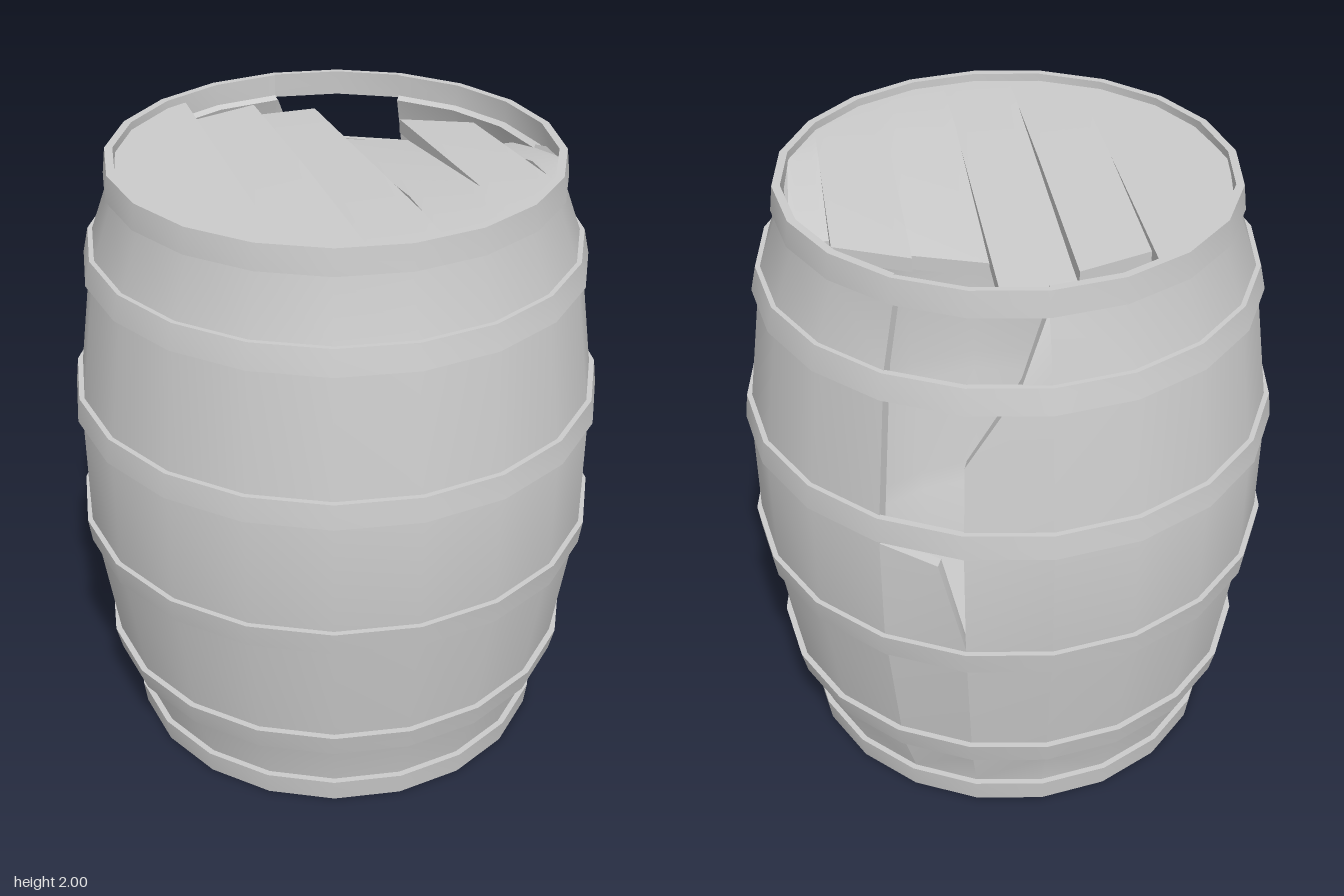
import * as THREE from 'three';
import { toCreasedNormals } from 'three/addons/utils/BufferGeometryUtils.js';

const SIDES = 20, STEP = (Math.PI * 2) / SIDES, WALL = 0.035;
const LID_TOP = 1.975, LID_RADIUS = 0.68, PLANK_THICK = 0.045;
const lerp = THREE.MathUtils.lerp;

// Outer barrel profile, [height, radius]
const PROFILE = [
  [0, 0.685], [0.08, 0.69], [0.265, 0.757], [0.345, 0.77], [0.74, 0.825], [0.82, 0.834],
  [1.18, 0.834], [1.26, 0.825], [1.655, 0.77], [1.735, 0.757], [1.92, 0.69], [2, 0.685],
];

function radiusAt(y) {
  for (let i = 1; i < PROFILE.length; i++) {
    const [y0, r0] = PROFILE[i - 1], [y1, r1] = PROFILE[i];
    if (y <= y1) return lerp(r0, r1, (y - y0) / (y1 - y0));
  }
  return PROFILE[PROFILE.length - 1][1];
}

// Moves every vertex of a geometry by a rule
function reshape(geometry, rule) {
  const pos = geometry.attributes.position, v = new THREE.Vector3();
  for (let i = 0; i < pos.count; i++) {
    v.fromBufferAttribute(pos, i);
    rule(v);
    pos.setXYZ(i, v.x, v.y, v.z);
  }
  return toCreasedNormals(geometry, 0.5);
}

// One broken stave; rows are [height, start, end] across its width (0 to 1).
// Azimuth is measured from the back (-z) towards +x.
function staveGeometry(index, rows) {
  const n = rows.length - 1, a0 = index * STEP, a1 = a0 + STEP;
  return reshape(new THREE.BoxGeometry(1, 1, 1, 1, n, 1), (v) => {
    const [y, from, to] = rows[Math.round((v.y + 0.5) * n)];
    const t = lerp(to, from, v.x + 0.5);
    const r = radiusAt(y) - (v.z > 0 ? 0 : WALL);
    v.set(r * lerp(Math.sin(a0), Math.sin(a1), t), y, -r * lerp(Math.cos(a0), Math.cos(a1), t));
  });
}

// A lid plank: round at the front, broken or round at the back, sagging behind its hinge line
function plankGeometry({ x0, x1, back, hinge = 0, drop = 0 }) {
  const rim = (x) => Math.sqrt(Math.max(0, LID_RADIUS ** 2 - x * x));
  return reshape(new THREE.BoxGeometry(1, 1, 1, 6, 1, 2), (v) => {
    const t = v.x + 0.5, x = lerp(x0, x1, t), front = rim(x);
    const rear = back ? Math.max(lerp(back[0], back[1], t), -front) : -front;
    const z = v.z > 0.1 ? front : v.z < -0.1 ? rear : Math.min(hinge, front);
    const y = LID_TOP - (v.y > 0 ? 0 : PLANK_THICK) - (v.z < -0.1 ? drop : 0);
    v.set(x, y, z);
  });
}

export function createModel() {
  const model = new THREE.Group();
  const material = new THREE.MeshStandardMaterial({ color: 0xcccccc });
  const openMaterial = new THREE.MeshStandardMaterial({ color: 0xcccccc, side: THREE.DoubleSide });
  const add = (name, geometry, mat = material) => {
    const mesh = new THREE.Mesh(geometry, mat);
    mesh.name = name;
    model.add(mesh);
    return mesh;
  };

  // Intact wall, leaving out two staves at the back
  const outer = PROFILE.map(([y, r]) => new THREE.Vector2(r, y));
  const inner = PROFILE.slice(0, -1).map(([y, r]) => new THREE.Vector2(r - WALL, y)).reverse();
  const section = [
    ...outer,
    new THREE.Vector2(0.675, 2), new THREE.Vector2(0.675, 1.93),
    ...inner,
  ];
  const wall = new THREE.LatheGeometry([...section, section[0].clone()], SIDES - 2, Math.PI, STEP * (SIDES - 2));
  add('barrelWall', toCreasedNormals(wall, 0.5));
  for (const phi of [Math.PI, Math.PI - 2 * STEP]) {
    add('wallEdge', new THREE.ShapeGeometry(new THREE.Shape(section)), openMaterial).rotation.y = phi - Math.PI / 2;
  }

  // Two splintered staves
  const full = (top) => PROFILE.filter(([y]) => y < top).map(([y]) => [y, 0, 1]);
  add('brokenStave', staveGeometry(0, [
    ...full(1.4), [1.48, 0, 1], [1.655, 0, 0.55], [1.735, 0, 0.35], [1.92, 0, 0.02],
  ]));
  add('brokenStave', staveGeometry(1, [
    ...full(0.83), [1.13, 0.31, 1], [1.17, 0.97, 1],
  ]));

  // Hoops, mirrored about mid height; [lower y, upper y, lower radius, upper radius]
  const hoops = [[0, 0.08, 0.7, 0.71], [0.265, 0.345, 0.772, 0.79], [0.73, 0.81, 0.84, 0.85]];
  for (const [y0, y1, r0, r1] of hoops) {
    for (const mirrored of [false, true]) {
      const points = [
        [radiusAt(y0) - 0.004, y0], [r0, y0], [r1, y1], [radiusAt(y1) - 0.004, y1], [radiusAt(y0) - 0.004, y0],
      ].map(([r, y]) => new THREE.Vector2(r, mirrored ? 2 - y : y));
      if (mirrored) points.reverse();
      add('hoop', toCreasedNormals(new THREE.LatheGeometry(points, SIDES), 0.5));
    }
  }

  // Floor
  const floor = new THREE.CylinderGeometry(0.675, 0.675, 0.03, SIDES);
  floor.translate(0, 0.023, 0);
  add('floor', toCreasedNormals(floor, 0.5));

  // Lid planks
  const planks = [
    { x0: -0.68, x1: -0.33 },
    { x0: -0.33, x1: -0.11, back: [-0.47, -0.545], hinge: 0.08, drop: 0.02 },
    { x0: -0.11, x1: 0.11, back: [-0.58, -0.58], hinge: 0.47, drop: 0.07 },
    { x0: 0.11, x1: 0.33, back: [-0.345, -0.265], hinge: 0.35, drop: 0.09 },
    { x0: 0.33, x1: 0.55, back: [-0.35, -0.25], hinge: 0.33, drop: 0.05 },
    { x0: 0.55, x1: 0.664, back: [-0.145, -0.145], hinge: 0.22, drop: 0.09 },
  ];
  for (const plank of planks) add('lidPlank', plankGeometry(plank));

  return model;
}
